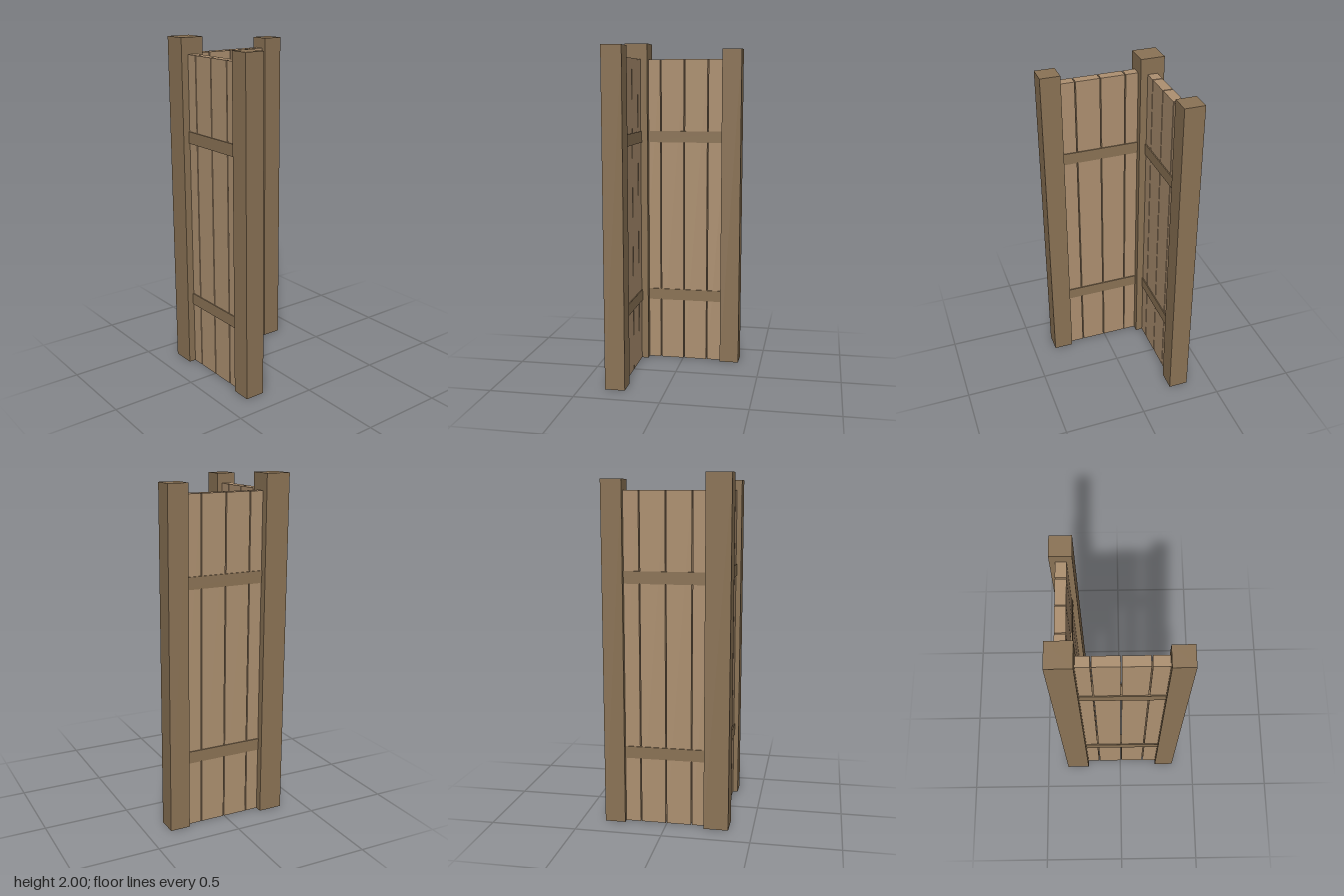
import * as THREE from 'three';

const darkWood = new THREE.MeshStandardMaterial({ color: 0x8b7355, flatShading: true });
const lightWood = new THREE.MeshStandardMaterial({ color: 0xad9070, flatShading: true });

// Axis line shared by both wings, measured from the centre
const LINE = -0.292;

function box(name, material, [w, h, d], [x, y, z]) {
  const mesh = new THREE.Mesh(new THREE.BoxGeometry(w, h, d), material);
  mesh.name = name;
  mesh.position.set(x, y, z);
  return mesh;
}

// One fence wing; alongZ swaps x and z so both wings share the same layout
function createWing(name, alongZ) {
  const wing = new THREE.Group();
  wing.name = name;
  const add = (part, material, from, to, bottom, top, depth) => {
    const length = to - from, mid = (from + to) / 2;
    const h = top - bottom, y = (top + bottom) / 2;
    wing.add(alongZ
      ? box(part, material, [depth, h, length], [LINE, y, mid])
      : box(part, material, [length, h, depth], [mid, y, LINE]));
  };

  // Shorter end post
  add('endPost', darkWood, 0.242, 0.36, 0, 1.965, 0.118);

  // Four upright planks with narrow gaps
  for (let i = 0; i < 4; i++) {
    const start = -0.289 + i * 0.1482;
    add('plank', lightWood, start, start + 0.1418, 0, 1.905, 0.058);
  }

  // Two cross rails, standing slightly proud of the planks on both faces
  for (const y of [0.42, 1.43]) {
    add('rail', darkWood, LINE, 0.3, y - 0.035, y + 0.035, 0.07);
  }
  return wing;
}

export function createModel() {
  const model = new THREE.Group();
  model.name = 'cornerFence';
  // Taller corner post joining the wings
  model.add(box('cornerPost', darkWood, [0.142, 2, 0.142], [LINE, 1, LINE]));
  model.add(createWing('backWing', false), createWing('sideWing', true));
  return model;
}
